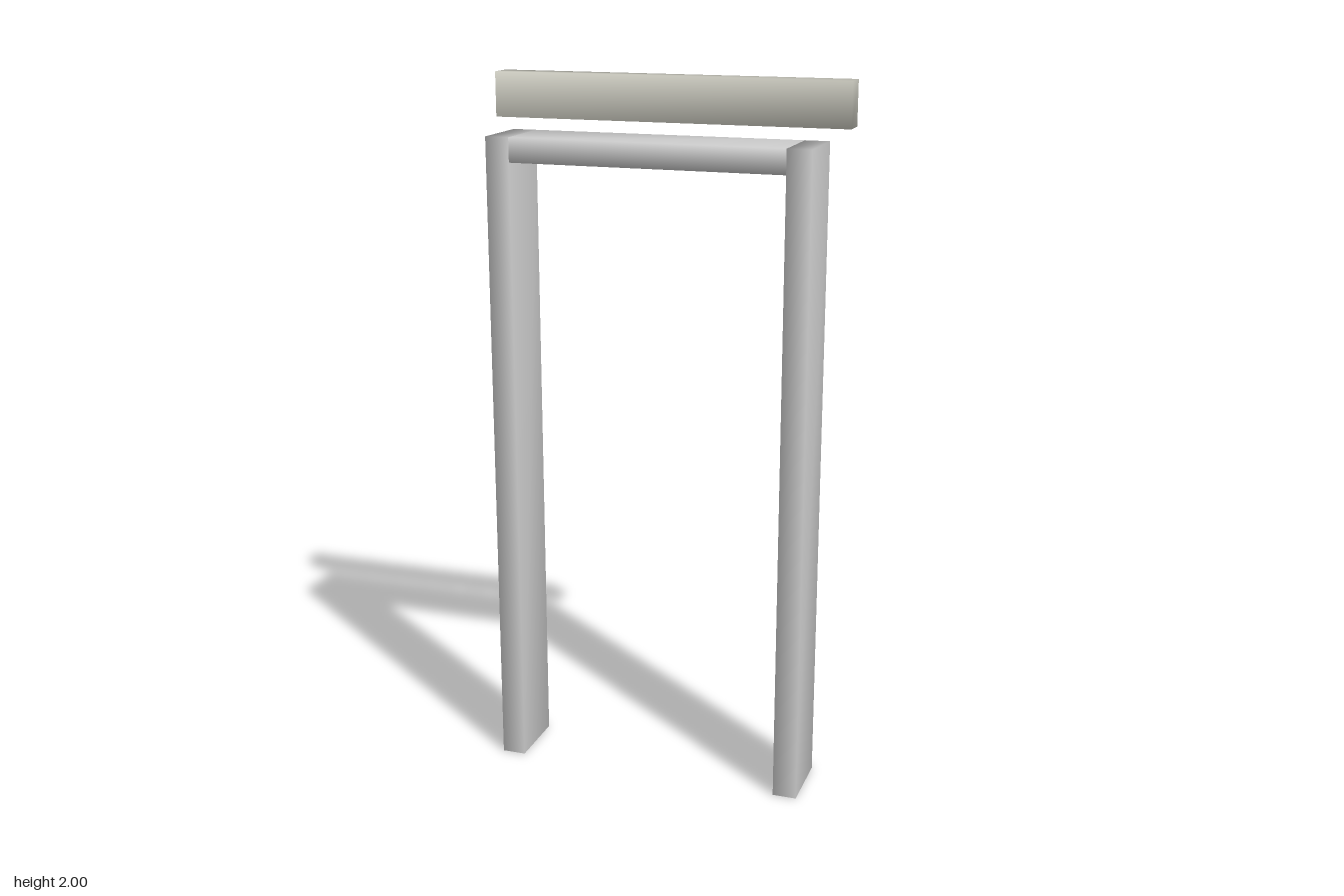
import * as THREE from 'three';
import { mergeVertices } from 'three/addons/utils/BufferGeometryUtils.js';

const grey = new THREE.MeshStandardMaterial({ color: 0xcccccc });
const warmGrey = new THREE.MeshStandardMaterial({ color: 0xd0cfc4 });
const blue = new THREE.MeshStandardMaterial({ color: 0x6685aa });

// Box given by its extents, with corners shared so the shading runs smoothly round the edges
function softBox(name, [x0, x1], [y0, y1], [z0, z1], material) {
  let geometry = new THREE.BoxGeometry(x1 - x0, y1 - y0, z1 - z0);
  geometry.deleteAttribute('normal');
  geometry.deleteAttribute('uv');
  geometry = mergeVertices(geometry);
  geometry.computeVertexNormals();
  const mesh = new THREE.Mesh(geometry, material);
  mesh.name = name;
  mesh.position.set((x0 + x1) / 2, (y0 + y1) / 2, (z0 + z1) / 2);
  return mesh;
}

export function createModel() {
  const model = new THREE.Group();
  model.name = 'doorFrame';

  const inner = 0.387, outer = 0.455, top = 1.843;
  const depth = [-0.048, 0.145];

  // Upright posts and the lintel between them
  model.add(
    softBox('leftPost', [inner, outer], [0, top], depth, grey),
    softBox('rightPost', [-outer, -inner], [0, top], depth, grey),
    softBox('lintel', [-inner, inner], [1.775, top], depth, grey),
  );

  // Header bar behind and above the frame, with a small plate on its back
  model.add(
    softBox('headerBar', [-0.51, 0.51], [1.875, 2], [-0.125, -0.053], warmGrey),
    softBox('backPlate', [0.095, 0.335], [1.915, 1.965], [-0.145, -0.123], blue),
  );

  return model;
}
